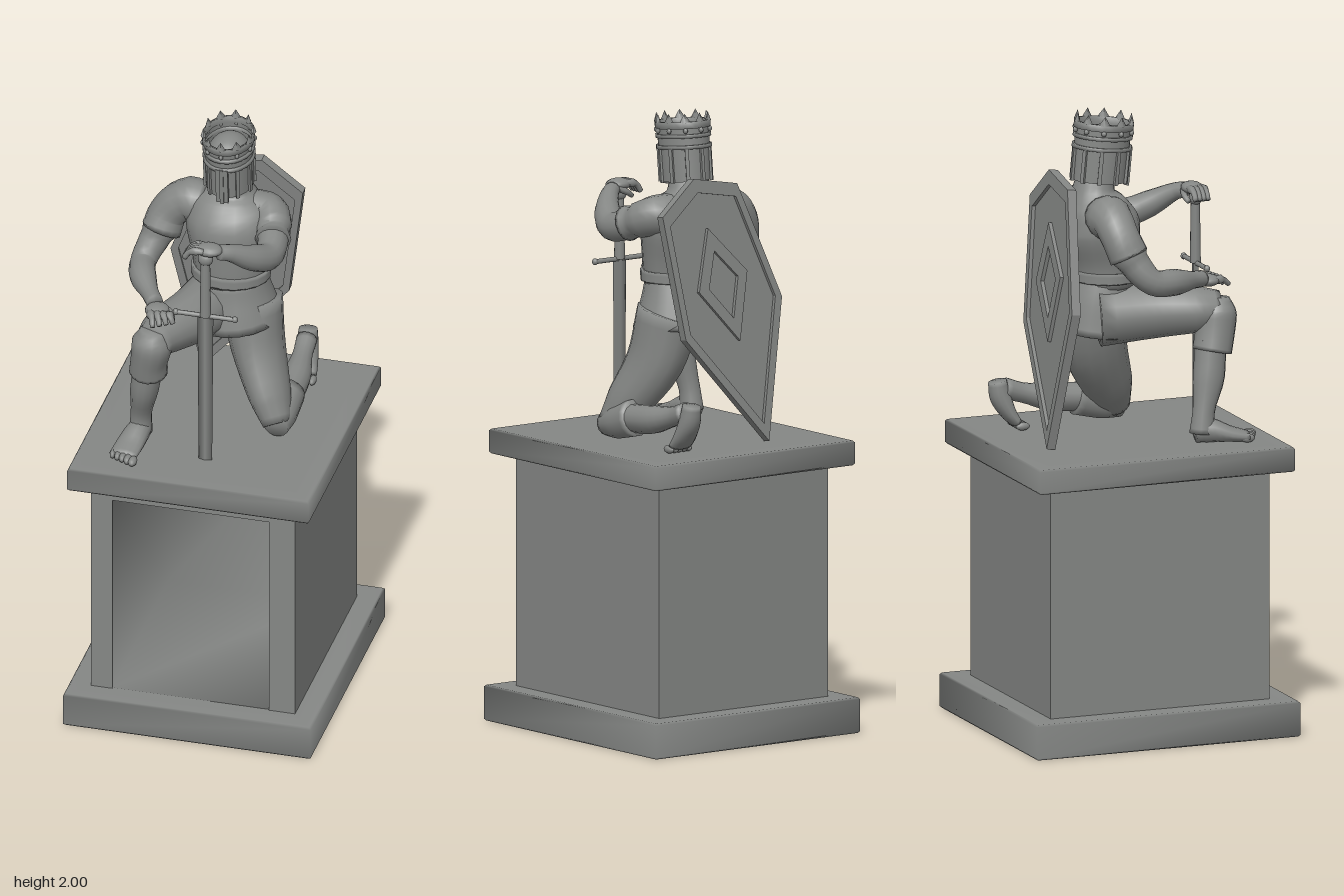
import * as THREE from 'three';

const stone = new THREE.MeshStandardMaterial({ color: 0x858785 });
stone.name = 'stone grey';
stone.side = THREE.DoubleSide;

const Y = new THREE.Vector3(0, 1, 0), Z = new THREE.Vector3(0, 0, 1);

function add(parent, name, geometry, x = 0, y = 0, z = 0) {
  const mesh = new THREE.Mesh(geometry, stone);
  mesh.name = name;
  mesh.position.set(x, y, z);
  parent.add(mesh);
  return mesh;
}

const box = (parent, name, w, h, d, x, y, z) => add(parent, name, new THREE.BoxGeometry(w, h, d), x, y, z);

// Smooth skin over equal rings of points
function skin(rings) {
  const sides = rings[0].length, idx = [];
  for (let k = 0; k < rings.length - 1; k++)
    for (let j = 0; j < sides; j++) {
      const a = k * sides + j, b = k * sides + (j + 1) % sides;
      idx.push(a, a + sides, b, b, a + sides, b + sides);
    }
  const g = new THREE.BufferGeometry();
  g.setAttribute('position', new THREE.Float32BufferAttribute(rings.flat(2), 3));
  g.setIndex(idx);
  g.computeVertexNormals();
  return g;
}

// Soft-shaded block from rectangular rings [halfWidth, halfDepth, y]
const slab = rings => skin(rings.map(([w, d, y]) => [[w, y, d], [-w, y, d], [-w, y, -d], [w, y, -d]]));

// Smooth closed body through oval sections [x, y, z, sideRadius, otherRadius]
function loft(parent, name, sections, ref = Z, sides = 14) {
  const path = new THREE.CatmullRomCurve3(sections.map(s => new THREE.Vector3(s[0], s[1], s[2])));
  const radii = new THREE.CatmullRomCurve3(sections.map(s => new THREE.Vector3(s[3], s[4] ?? s[3], 0)));
  const steps = (sections.length - 1) * 4, rings = [];
  for (let k = -1; k <= steps + 1; k++) {
    const t = Math.min(Math.max(k / steps, 0), 1);
    const c = path.getPoint(t), r = radii.getPoint(t), tan = path.getTangent(t);
    if (k < 0 || k > steps) r.multiplyScalar(0.01); // end caps
    const side = tan.clone().cross(ref).normalize(), other = side.clone().cross(tan);
    rings.push(Array.from({ length: sides }, (_, j) => {
      const a = (j / sides) * Math.PI * 2;
      return c.clone().addScaledVector(side, r.x * Math.cos(a)).addScaledVector(other, r.y * Math.sin(a)).toArray();
    }));
  }
  return add(parent, name, skin(rings));
}

function ball(parent, name, x, y, z, rx, ry, rz) {
  const m = add(parent, name, new THREE.SphereGeometry(1, 14, 10), x, y, z);
  m.scale.set(rx, ry, rz);
  return m;
}

function plinth() {
  const g = new THREE.Group();
  g.name = 'plinth';
  const moulding = (name, w, d, y0, y1) => add(g, name, slab([
    [0, 0, y0], [w - 0.065, d - 0.065, y0], [w - 0.006, d - 0.006, y0], [w, d, y0 + 0.006],
    [w, d, y1 - 0.006], [w - 0.006, d - 0.006, y1], [w - 0.065, d - 0.065, y1], [0, 0, y1]]));
  moulding('plinthBase', 0.406, 0.451, 0, 0.115);
  moulding('plinthCap', 0.396, 0.437, 0.86, 0.94);
  // Outer walls, with an open niche in the front
  for (const s of [-1, 1])
    add(g, 'plinthSide', new THREE.PlaneGeometry(0.75, 0.755), s * 0.335, 0.4875, 0).rotation.y = s * Math.PI / 2;
  add(g, 'plinthBack', new THREE.PlaneGeometry(0.67, 0.755), 0, 0.4875, -0.375).rotation.y = Math.PI;
  const rect = (x0, x1, y0, y1) => [[x0, y0], [x1, y0], [x1, y1], [x0, y1]].map(p => new THREE.Vector2(...p));
  const front = new THREE.Shape(rect(-0.335, 0.335, 0.11, 0.865));
  front.holes.push(new THREE.Path(rect(-0.265, 0.25, 0.115, 0.81)));
  add(g, 'plinthFront', new THREE.ShapeGeometry(front), 0, 0, 0.375);
  add(g, 'niche', slab([[0.2575, 0.346, 0.375], [0.2575, 0.346, -0.305], [0, 0, -0.305]]), -0.0075, 0.464, 0)
    .rotation.x = Math.PI / 2;
  return g;
}

function helmet() {
  const g = new THREE.Group();
  g.name = 'crownedHelmet';
  g.position.set(0, 1.765, -0.074);
  g.rotation.x = 0.1;
  g.scale.set(0.08, 1, 0.094); // unit circle becomes the oval of the head
  add(g, 'helmetShell', new THREE.CylinderGeometry(0.97, 0.94, 0.185, 24, 1, true), 0, 0.0975, 0);
  add(g, 'skullDome', new THREE.SphereGeometry(0.88, 20, 8, 0, Math.PI * 2, 0, Math.PI / 2), 0, 0.115, 0).scale.y = 0.08;
  const bandProfile = h => [[0.93, -h], [1.04, -h], [1.04, h], [0.93, h], [0.93, -h]].map(p => new THREE.Vector2(...p));
  for (const [y, h] of [[0.115, 0.006], [0.15, 0.006], [0.185, 0.011]])
    add(g, 'crownBand', new THREE.LatheGeometry(bandProfile(h), 24), 0, y, 0);
  const place = (m, a, r) => {
    m.position.x = Math.sin(a) * r;
    m.position.z = Math.cos(a) * r;
    m.rotation.y = a;
  };
  for (let i = 0; i < 10; i++) {
    const a = (i / 10) * Math.PI * 2;
    place(box(g, 'helmetRib', 0.14, 0.115, 0.1, 0, 0.06, 0), a, 0.98);
    const point = add(g, 'crownPoint', new THREE.ConeGeometry(0.22, 0.03, 4), 0, 0.208, 0);
    place(point, a, 0.98);
    point.scale.z = 0.5;
    const stud = add(g, 'crownStud', new THREE.SphereGeometry(0.09, 8, 6), 0, 0.168, 0);
    place(stud, a, 1.02);
    stud.scale.y = 0.1;
  }
  box(g, 'facePlate', 0.5, 0.125, 0.12, 0, 0.055, 0.98);
  box(g, 'noseRidge', 0.16, 0.13, 0.12, 0, 0.055, 1.02);
  return g;
}

function body() {
  const g = new THREE.Group();
  g.name = 'body';
  loft(g, 'torso', [[0.01, 1.43, -0.05, 0.115, 0.1], [0.01, 1.52, -0.055, 0.126, 0.112], [0.005, 1.62, -0.07, 0.145, 0.128],
    [0, 1.69, -0.085, 0.13, 0.102], [0, 1.74, -0.09, 0.075, 0.068], [0, 1.8, -0.075, 0.055, 0.055]], Z, 20);
  loft(g, 'tunicSkirt', [[0.025, 1.29, -0.065, 0.145, 0.142], [0.015, 1.38, -0.06, 0.127, 0.122], [0.01, 1.46, -0.05, 0.112, 0.1]], Z, 20);
  loft(g, 'belt', [[0.01, 1.45, -0.05, 0.128, 0.113], [0.01, 1.485, -0.05, 0.128, 0.114]], Z, 20);

  // Sleeves and arms
  loft(g, 'rightSleeve', [[-0.08, 1.67, -0.09, 0.066], [-0.155, 1.67, -0.09, 0.066], [-0.205, 1.62, -0.08, 0.062], [-0.222, 1.565, -0.06, 0.064]]);
  loft(g, 'rightArm', [[-0.2, 1.63, -0.08, 0.05], [-0.235, 1.55, -0.05, 0.05], [-0.262, 1.485, 0.005, 0.042],
    [-0.245, 1.475, 0.08, 0.043], [-0.195, 1.465, 0.17, 0.028], [-0.17, 1.46, 0.21, 0.027]], Y);
  loft(g, 'leftSleeve', [[0.07, 1.67, -0.09, 0.066], [0.125, 1.67, -0.08, 0.064], [0.155, 1.65, -0.03, 0.058], [0.165, 1.635, 0.015, 0.058]], Y);
  loft(g, 'leftArm', [[0.13, 1.66, -0.06, 0.052], [0.165, 1.63, 0.02, 0.05], [0.168, 1.615, 0.09, 0.046],
    [0.135, 1.645, 0.16, 0.042], [0.08, 1.69, 0.222, 0.028], [0.05, 1.7, 0.245, 0.025]], Y);

  // Hands
  ball(g, 'rightPalm', -0.155, 1.45, 0.235, 0.04, 0.02, 0.04);
  ball(g, 'leftPalm', 0.02, 1.712, 0.255, 0.045, 0.02, 0.035);
  for (let i = 0; i < 4; i++) {
    const x = -0.175 + i * 0.019, z = 0.237 + i * 0.014;
    loft(g, 'rightFinger', [[x, 1.452, 0.25, 0.01], [x + 0.015, 1.449, 0.285 - i * 0.006, 0.01], [x + 0.025, 1.43, 0.31 - i * 0.012, 0.008]], Y, 8);
    loft(g, 'leftFinger', [[0.01, 1.715, z, 0.01], [-0.035, 1.71, z, 0.01], [-0.055, 1.685, z, 0.009]], Y, 8);
  }
  loft(g, 'rightThumb', [[-0.14, 1.452, 0.215, 0.011], [-0.11, 1.445, 0.235, 0.01], [-0.1, 1.43, 0.255, 0.008]], Y, 8);
  loft(g, 'leftThumb', [[0.04, 1.705, 0.235, 0.012], [0.01, 1.69, 0.225, 0.01], [-0.015, 1.675, 0.23, 0.008]], Y, 8);

  // Raised right leg
  loft(g, 'rightThigh', [[-0.04, 1.34, -0.09, 0.1], [-0.085, 1.35, 0.08, 0.09, 0.088], [-0.14, 1.355, 0.2, 0.077, 0.075], [-0.16, 1.355, 0.275, 0.058, 0.058]], Y);
  loft(g, 'rightBreechesCuff', [[-0.16, 1.395, 0.265, 0.04], [-0.165, 1.34, 0.262, 0.066], [-0.178, 1.27, 0.25, 0.06, 0.064], [-0.183, 1.225, 0.24, 0.062, 0.064]]);
  loft(g, 'rightShin', [[-0.183, 1.26, 0.235, 0.05], [-0.2, 1.15, 0.222, 0.046, 0.052], [-0.218, 1.04, 0.197, 0.034, 0.036], [-0.222, 0.97, 0.19, 0.038, 0.042]]);
  loft(g, 'rightFoot', [[-0.217, 0.97, 0.165, 0.028, 0.03], [-0.222, 0.98, 0.205, 0.038, 0.04], [-0.235, 0.964, 0.28, 0.046, 0.025], [-0.242, 0.955, 0.335, 0.046, 0.016]], Y);
  for (let i = 0; i < 5; i++)
    ball(g, 'rightToe', -0.275 + i * 0.018, 0.954, 0.325 + i * 0.008, 0.01 + i * 0.001, 0.014, 0.024);

  // Kneeling left leg
  loft(g, 'leftThigh', [[0.07, 1.35, -0.075, 0.1, 0.11], [0.1, 1.2, -0.045, 0.085, 0.105], [0.158, 1.06, 0.025, 0.066, 0.08], [0.193, 0.985, 0.065, 0.046, 0.048]]);
  loft(g, 'leftBreechesCuff', [[0.193, 0.985, 0.085, 0.04, 0.04], [0.195, 1, 0.02, 0.05, 0.055], [0.197, 1.025, -0.07, 0.05, 0.06]], Y);
  loft(g, 'leftShin', [[0.198, 1.02, -0.03, 0.045], [0.196, 1.03, -0.15, 0.046], [0.188, 1.055, -0.26, 0.032], [0.185, 1.075, -0.32, 0.034]], Y);
  loft(g, 'leftFoot', [[0.183, 1.1, -0.345, 0.03, 0.03], [0.183, 1.05, -0.335, 0.036, 0.034], [0.183, 0.995, -0.308, 0.042, 0.025], [0.183, 0.965, -0.285, 0.044, 0.018]]);
  for (let i = 0; i < 5; i++)
    ball(g, 'leftToe', 0.148 + i * 0.0175, 0.954, -0.272, 0.011, 0.013, 0.024);
  return g;
}

function sword() {
  const g = new THREE.Group();
  g.name = 'sword';
  g.position.set(0.01, 0, 0.262);
  add(g, 'swordBlade', new THREE.CylinderGeometry(0.026, 0.022, 0.53, 4), 0, 1.205, 0).scale.z = 0.3;
  add(g, 'swordGuard', new THREE.CylinderGeometry(0.008, 0.008, 0.2, 8), 0, 1.47, 0).rotation.z = Math.PI / 2;
  for (const s of [-1, 1]) ball(g, 'guardEnd', s * 0.097, 1.47, 0, 0.01, 0.011, 0.01);
  add(g, 'swordGrip', new THREE.CylinderGeometry(0.015, 0.018, 0.2, 10), 0, 1.57, 0);
  ball(g, 'swordPommel', 0, 1.68, 0, 0.025, 0.024, 0.02);
  return g;
}

function shield() {
  const g = new THREE.Group();
  g.name = 'shield';
  // Leaning frame: tip at the origin, local y runs up to the top corner
  const up = new THREE.Vector3(0.225, 0.855, 0.1).normalize();
  const out = new THREE.Vector3(0.964, -0.26, -0.02).cross(up).normalize();
  g.matrix.makeBasis(up.clone().cross(out), up, out).setPosition(-0.15, 0.945, -0.295);
  g.matrix.decompose(g.position, g.quaternion, g.scale);
  const outline = [[0, 0], [0.2, 0.415], [0.155, 0.815], [0, 0.887], [-0.155, 0.815], [-0.2, 0.415]];
  const diamond = [[0, 0.34], [0.1, 0.54], [0, 0.72], [-0.1, 0.54]];
  const scaled = (pts, s, cy) => pts.map(([x, y]) => new THREE.Vector2(x * s, cy + (y - cy) * s));
  const frame = (name, pts, inner, cy, depth, z) => {
    const shape = new THREE.Shape(scaled(pts, 1, cy));
    if (inner) shape.holes.push(new THREE.Path(scaled(pts, inner, cy)));
    add(g, name, new THREE.ExtrudeGeometry(shape, { depth, bevelEnabled: false }), 0, 0, z);
  };
  frame('shieldPanel', outline, 0, 0.5, 0.012, -0.006);
  frame('shieldRim', outline, 0.88, 0.5, 0.03, -0.018);
  frame('shieldDiamond', diamond, 0.6, 0.53, 0.012, -0.018);
  return g;
}

export function createModel() {
  const model = new THREE.Group();
  model.name = 'kneelingKnightStatue';
  model.add(plinth(), body(), helmet(), sword(), shield());
  return model;
}
